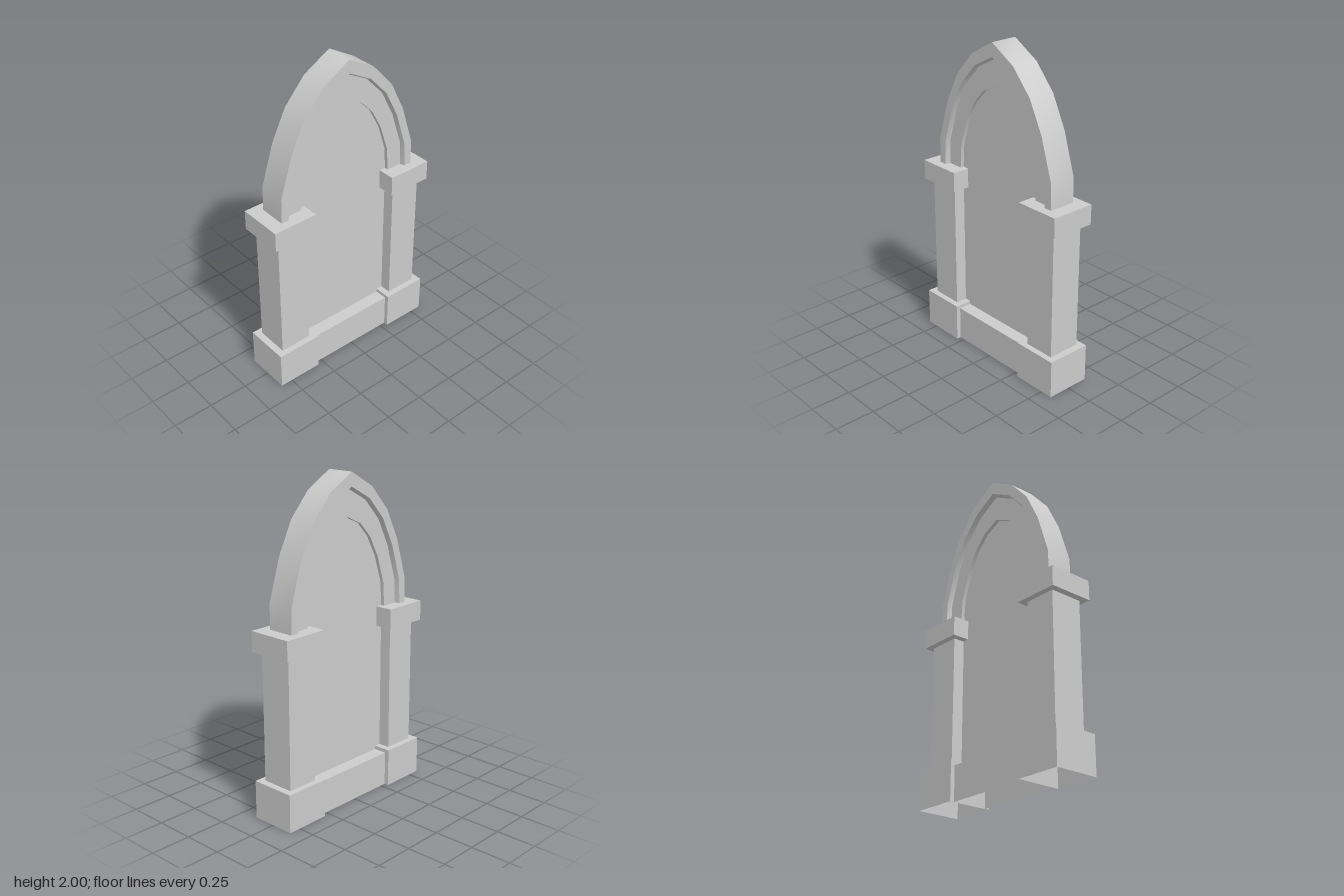
import * as THREE from 'three';
import { toCreasedNormals } from 'three/addons/utils/BufferGeometryUtils.js';

const material = new THREE.MeshStandardMaterial({ color: 0xcccccc, side: THREE.DoubleSide });

// Right half of the pointed arch, from springing line to apex
const OUTER = [[0.488, 1.15], [0.484, 1.31], [0.405, 1.56], [0.31, 1.75], [0.175, 1.9], [0, 2]];
const INNER = [[0.33, 1.15], [0.32, 1.3], [0.265, 1.47], [0.195, 1.6], [0.11, 1.69], [0, 1.74]];

// Adds the mirrored half, giving a full arch from +x over the apex to -x
const mirrored = half => [...half, ...half.slice(0, -1).reverse().map(([x, y]) => [-x, y])];

function add(parent, name, geometry, x = 0, y = 0, z = 0) {
  const mesh = new THREE.Mesh(geometry, material);
  mesh.name = name;
  mesh.position.set(x, y, z);
  parent.add(mesh);
  return mesh;
}

// Box standing on y0; the underside can be left open
function block(parent, name, x0, x1, y0, y1, depth, open = false) {
  const g = new THREE.BoxGeometry(x1 - x0, y1 - y0, depth);
  if (open) {
    const index = Array.from(g.index.array);
    index.splice(18, 6); // bottom face
    g.setIndex(index);
    g.clearGroups();
  }
  return add(parent, name, g, (x0 + x1) / 2, (y0 + y1) / 2, 0);
}

// Stepped moulding: cross-section (t from outer to inner edge, z) swept over the arch
function archGeometry() {
  const front = [[0, 0.086], [0.32, 0.086], [0.37, 0.055], [1, 0.055]];
  const section = [...front, ...front.map(([t, z]) => [t, -z]).reverse()];
  const outer = mirrored(OUTER), inner = mirrored(INNER);
  const n = section.length, positions = [], index = [];
  outer.forEach(([ox, oy], i) => {
    const [ix, iy] = inner[i];
    for (const [t, z] of section) positions.push(ox + (ix - ox) * t, oy + (iy - oy) * t, z);
  });
  for (let i = 0; i < outer.length - 1; i++) {
    for (let j = 0; j < n; j++) {
      const a = i * n + j, b = i * n + (j + 1) % n;
      index.push(a, a + n, b, b, a + n, b + n);
    }
  }
  const g = new THREE.BufferGeometry();
  g.setAttribute('position', new THREE.Float32BufferAttribute(positions, 3));
  g.setIndex(index);
  return toCreasedNormals(g, 1.1);
}

// Flat slab filling the opening
function panelGeometry() {
  const points = [[-0.335, 0.2], [0.335, 0.2], ...mirrored(INNER)];
  const shape = new THREE.Shape(points.map(([x, y]) => new THREE.Vector2(x, y)));
  return new THREE.ExtrudeGeometry(shape, { depth: 0.064, bevelEnabled: false }).translate(0, 0, -0.032);
}

export function createModel() {
  const model = new THREE.Group();
  model.name = 'archedNiche';

  add(model, 'archMoulding', archGeometry());
  add(model, 'panel', panelGeometry());
  block(model, 'sill', -0.29, 0.29, 0, 0.215, 0.23, true);

  // Pillars: plinth, shaft and capital on each side
  for (const [side, s] of [['left', 1], ['right', -1]]) {
    const pillar = new THREE.Group();
    pillar.name = side + 'Pillar';
    const part = (name, a, b, y0, y1, depth, open) =>
      block(pillar, name, Math.min(s * a, s * b), Math.max(s * a, s * b), y0, y1, depth, open);
    part('plinth', 0.288, 0.575, 0, 0.237, 0.285, true);
    part('shaft', 0.33, 0.532, 0.237, 1.03, 0.21);
    part('capital', 0.288, 0.575, 1.03, 1.153, 0.285);
    model.add(pillar);
  }
  return model;
}
